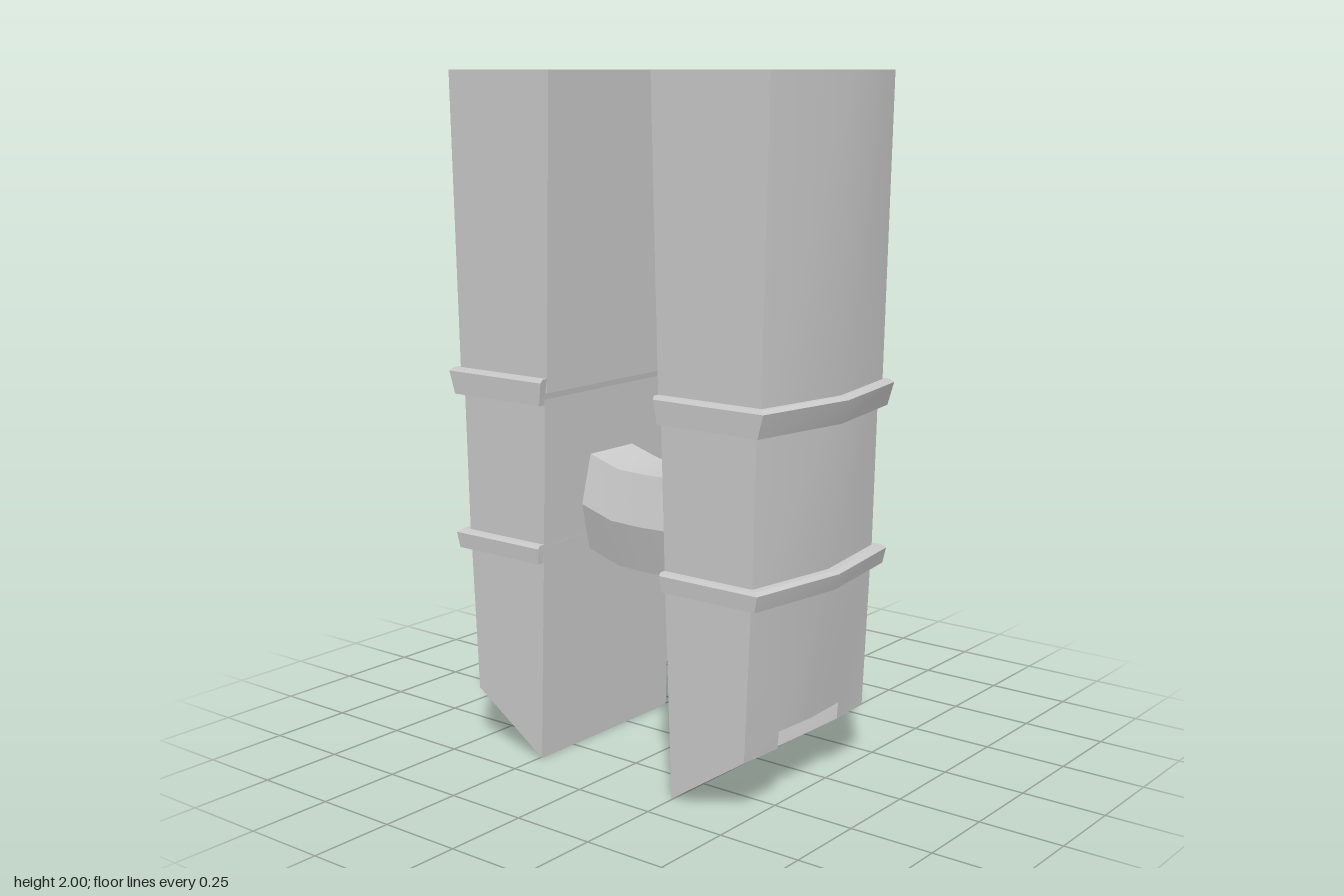
import * as THREE from 'three';
import { toCreasedNormals } from 'three/addons/utils/BufferGeometryUtils.js';

const FRONT = 0.39, BACK = -0.195, MID = 0.0975;
const material = new THREE.MeshStandardMaterial({ color: 0xcccccc });

// Mesh from convex polygons; side = -1 mirrors them across x
function polyMesh(name, polys, side = 1) {
  const pos = [];
  for (const poly of polys) {
    const p = side < 0 ? [...poly].reverse() : poly;
    for (let i = 1; i < p.length - 1; i++) {
      for (const [x, y, z] of [p[0], p[i], p[i + 1]]) pos.push(side * x, y, z);
    }
  }
  const geo = new THREE.BufferGeometry();
  geo.setAttribute('position', new THREE.Float32BufferAttribute(pos, 3));
  const mesh = new THREE.Mesh(toCreasedNormals(geo, 0.45), material);
  mesh.name = name;
  return mesh;
}

// Polygons joining a row of rings, closed at both ends
function loft(rings) {
  const polys = [[...rings[0]].reverse(), rings[rings.length - 1]];
  for (let r = 0; r < rings.length - 1; r++) {
    const a = rings[r], b = rings[r + 1];
    a.forEach((p, i) => {
      const j = (i + 1) % a.length;
      polys.push([p, a[j], b[j], b[i]]);
    });
  }
  return polys;
}

// Five-sided section: flat inner wall, shallow peak on the outer wall
function section(y, inner, corner, peak, grow = 0) {
  return [
    [inner, y, FRONT + grow], [corner, y, FRONT + grow], [peak, y, MID],
    [corner, y, BACK - grow], [inner, y, BACK - grow],
  ];
}

// Lower end: sloping underside with a wedge-shaped notch
function footPolys() {
  const U = section(0.62, 0.224, 0.516, 0.558);
  const P = section(0.165, 0.245, 0.495, 0.512);
  P[0][1] = P[4][1] = 0;
  const N1 = [0.503, 0.165, MID + 0.148], N3 = [0.503, 0.165, MID - 0.148];
  const M1 = [0.507, 0.215, MID + 0.148], M3 = [0.507, 0.215, MID - 0.148];
  const M2 = [0.516, 0.215, MID];
  const T = [0.245, 0, MID], C = [0.243, 0.05, MID];
  return [
    [P[0], P[1], U[1], U[0]], [P[3], P[4], U[4], U[3]], [P[4], P[0], U[0], U[4]],
    // outer wall around the notch
    [P[1], N1, M1, U[1]], [M1, M2, U[2], U[1]],
    [N3, P[3], U[3], M3], [M2, M3, U[3], U[2]],
    // underside
    [T, N1, P[1], P[0]], [P[4], P[3], N3, T],
    // notch ceiling and walls
    [M3, M2, M1, C], [C, M1, N1, T], [T, N3, M3, C],
  ];
}

function createColumn(side) {
  const column = new THREE.Group();
  column.name = side > 0 ? 'leftColumn' : 'rightColumn';
  column.add(
    polyMesh('foot', footPolys(), side),
    polyMesh('middleSection', loft([
      section(0.62, 0.224, 0.518, 0.563), section(1.1, 0.211, 0.53, 0.58),
    ]), side),
    polyMesh('upperSection', loft([
      section(1.1, 0.203, 0.543, 0.594), section(2, 0.18, 0.565, 0.615),
    ]), side),
    // raised bands with a small bevel along the top
    polyMesh('lowerBand', loft([
      section(0.6, 0.227, 0.542, 0.587, 0.022),
      section(0.646, 0.223, 0.552, 0.6, 0.025),
      section(0.655, 0.223, 0.54, 0.588, 0.018),
    ]), side),
    polyMesh('upperBand', loft([
      section(1.065, 0.214, 0.548, 0.6, 0.022),
      section(1.132, 0.204, 0.567, 0.622, 0.025),
      section(1.142, 0.202, 0.556, 0.608, 0.018),
    ]), side),
  );
  return column;
}

export function createModel() {
  const model = new THREE.Group();
  model.name = 'twinColumns';
  const right = createColumn(-1);
  model.add(createColumn(1), right);

  // Block projecting from the back of the right column
  right.add(polyMesh('rearOverhang', loft([
    [[0.188, 1.665, BACK], [0.557, 1.665, BACK], [0.559, 1.75, -0.395], [0.186, 1.75, -0.395]],
    [[0.18, 2, BACK], [0.565, 2, BACK], [0.565, 2, -0.415], [0.18, 2, -0.415]],
  ]), -1));

  // Sagging six-sided bridge between the columns
  const profile = [[0.19, 0.855], [0.225, 0.708], [0.19, 0.565], [0, 0.565], [-0.04, 0.708], [0, 0.855]];
  const path = [[-0.24, 0.042], [-0.11, 0.003], [0, 0], [0.11, 0.003], [0.24, 0.042]];
  model.add(polyMesh('bridge', loft(
    path.map(([x, lift]) => profile.map(([z, y]) => [x, y + lift, z])),
  )));
  return model;
}
